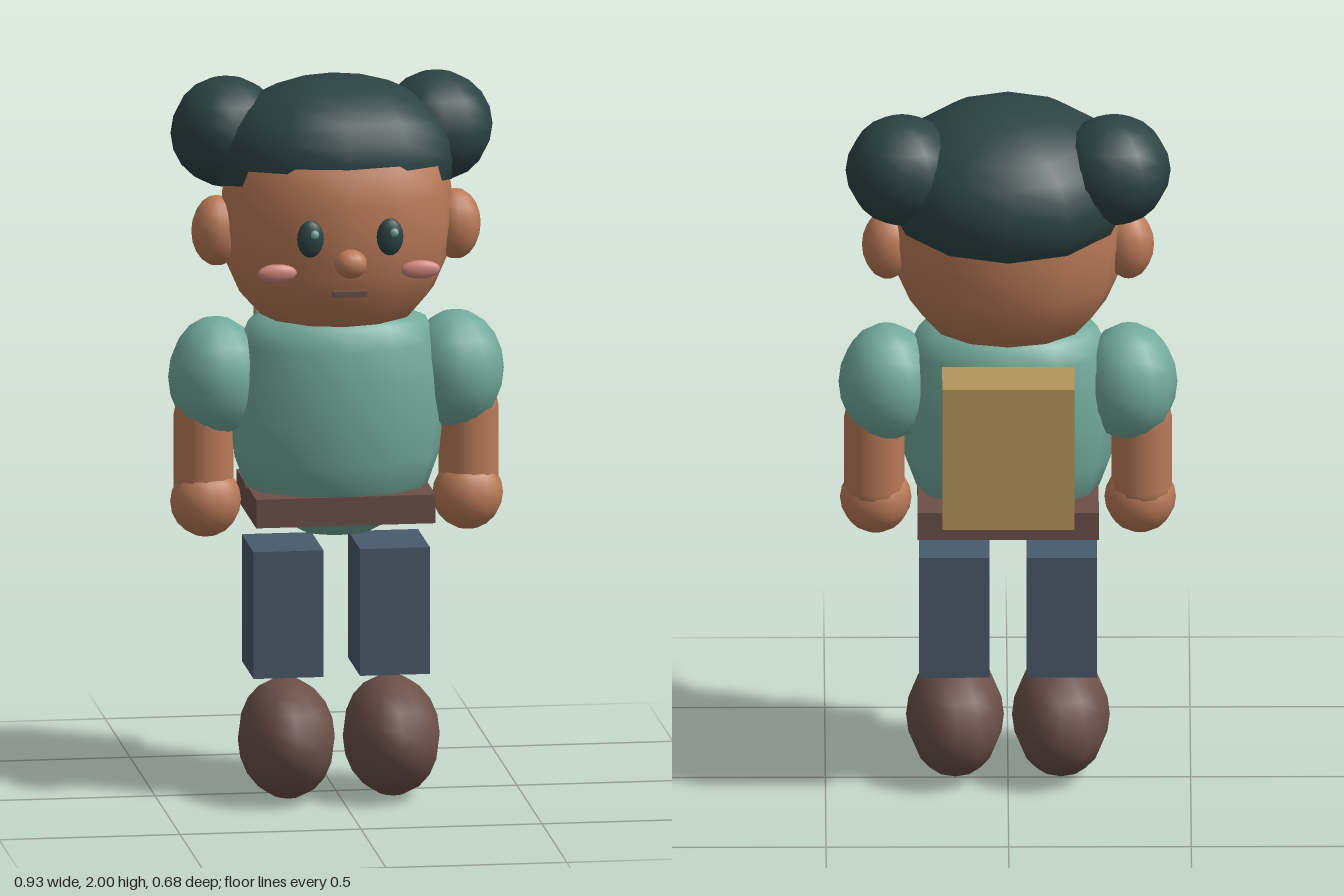
import * as THREE from 'three';

const material = (name, color, side = THREE.FrontSide) => {
  const m = new THREE.MeshStandardMaterial({ color, side });
  m.name = name;
  return m;
};

export function createModel() {
  const group = new THREE.Group();
  const skin = material('skin', 0xba7a58);
  const hairColor = material('dark hair', 0x2c4344, THREE.DoubleSide);
  const shirt = material('teal cloth', 0x72aa9b);
  const brown = material('brown leather', 0x6b5048);
  const denim = material('blue denim', 0x485a6b);
  const tan = material('tan canvas', 0xb4965c);
  const pink = material('pink blush', 0xd0837c);

  const add = (name, geometry, mat, pos, scale = [1, 1, 1]) => {
    const mesh = new THREE.Mesh(geometry, mat);
    mesh.name = name;
    mesh.position.set(...pos);
    mesh.scale.set(...scale);
    group.add(mesh);
    return mesh;
  };
  const ball = new THREE.SphereGeometry(1, 12, 10);
  const ellipsoid = (name, mat, pos, radii) => add(name, ball, mat, pos, radii);
  const box = (name, mat, pos, size) => add(name, new THREE.BoxGeometry(...size), mat, pos);
  // Oval body turned from [radius fraction, height] points
  const turned = (name, mat, points, rx, rz, z) => add(name,
    new THREE.LatheGeometry(points.map(([r, y]) => new THREE.Vector2(r, y)), 12),
    mat, [0, 0, z], [rx, 1, rz]);

  // Head and torso
  turned('head', skin, [[0, 1.305], [0.42, 1.315], [0.66, 1.345], [0.84, 1.41], [0.95, 1.49],
    [1, 1.59], [0.99, 1.69], [0.94, 1.78], [0.75, 1.86], [0, 1.92]], 0.32, 0.28, 0.012);
  turned('torso', shirt, [[0, 0.72], [0.32, 0.735], [0.6, 0.78], [0.85, 0.86], [0.96, 0.95],
    [1, 1.07], [0.98, 1.18], [0.92, 1.27], [0.83, 1.33], [0.6, 1.355], [0, 1.36]], 0.295, 0.213, 0.018);

  // Hair cap tilted towards the back, with a pair of buns
  const cap = add('hair', new THREE.SphereGeometry(1, 12, 8, 0, Math.PI * 2, 0, Math.PI * 0.6),
    hairColor, [0, 1.77, -0.033], [0.34, 0.23, 0.302]);
  cap.rotation.x = -0.19;

  // Nose and mouth
  ellipsoid('nose', skin, [0, 1.54, 0.3], [0.045, 0.04, 0.04]);
  box('mouth', brown, [0, 1.452, 0.28], [0.094, 0.016, 0.02]);

  // Belt and backpack
  box('belt', brown, [0, 0.825, 0], [0.496, 0.08, 0.4]);
  box('backpack', tan, [0, 1.082, -0.262], [0.362, 0.415, 0.164]);

  // Mirrored parts
  for (const [side, s] of [['left', 1], ['right', -1]]) {
    ellipsoid(`${side}Bun`, hairColor, [s * 0.29, 1.837, -0.09], [0.155, 0.152, 0.162]);
    ellipsoid(`${side}Ear`, skin, [s * 0.33, 1.58, 0], [0.07, 0.098, 0.075]);
    ellipsoid(`${side}Eye`, hairColor, [s * 0.11, 1.61, 0.285], [0.037, 0.052, 0.02]);
    ellipsoid(`${side}EyeHighlight`, shirt, [s * 0.11 + 0.01, 1.625, 0.302], [0.012, 0.012, 0.01]);
    ellipsoid(`${side}Cheek`, pink, [s * 0.198, 1.51, 0.257], [0.055, 0.026, 0.017]);
    ellipsoid(`${side}Sleeve`, shirt, [s * 0.332, 1.173, 0], [0.132, 0.165, 0.143]);
    add(`${side}Arm`, new THREE.CapsuleGeometry(0.083, 0.2, 4, 12), skin, [s * 0.366, 0.968, 0]);
    ellipsoid(`${side}Hand`, skin, [s * 0.362, 0.827, 0.012], [0.098, 0.1, 0.095]);
    box(`${side}Leg`, denim, [s * 0.147, 0.522, -0.003], [0.193, 0.355, 0.236]);
    ellipsoid(`${side}Shoe`, brown, [s * 0.145, 0.165, 0.055], [0.134, 0.165, 0.215]);
  }
  return group;
}
